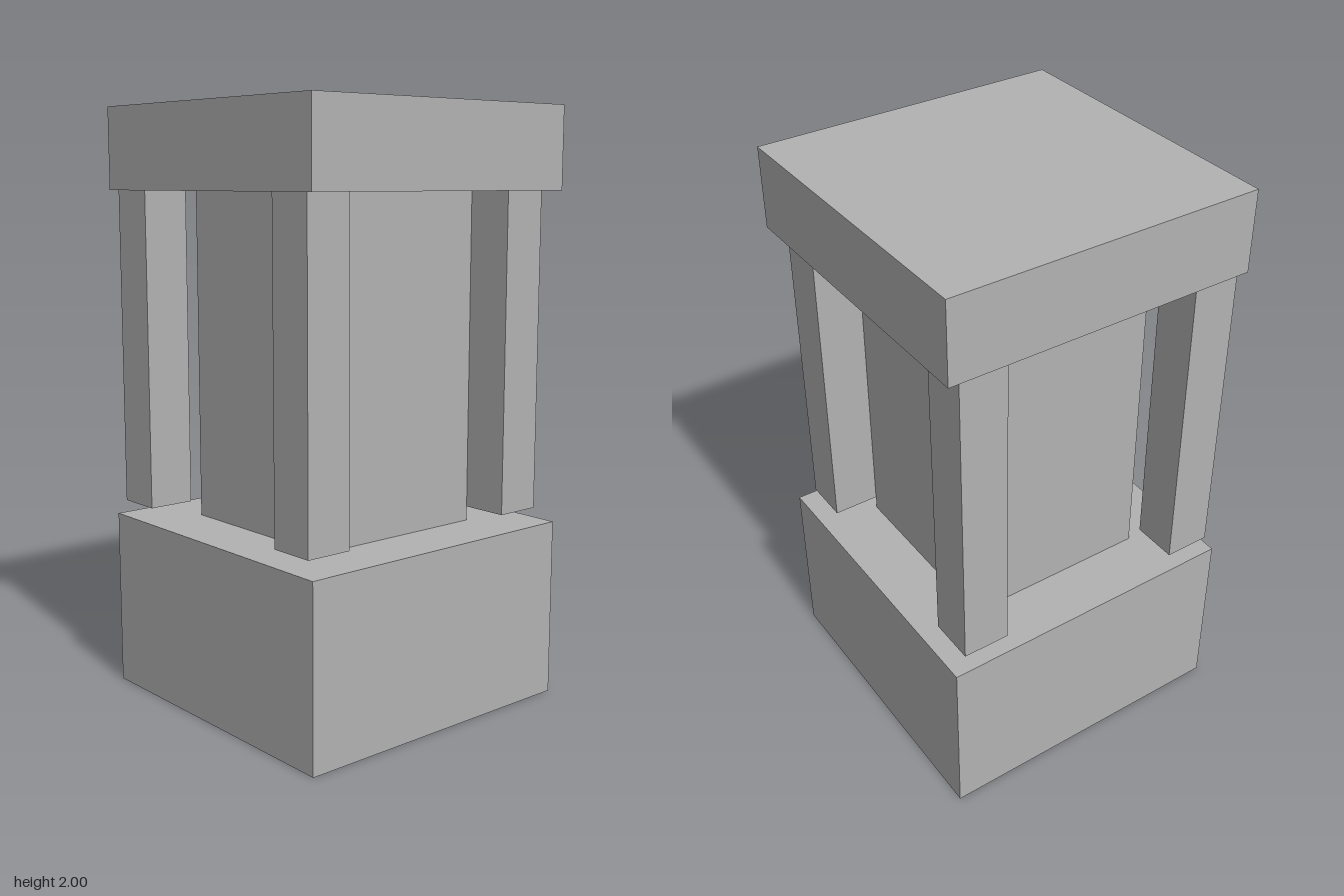
import * as THREE from 'three';

export function createModel() {
  const group = new THREE.Group();
  const stone = new THREE.MeshStandardMaterial({ color: 0xb2b2b2 });
  stone.name = 'grey stone';

  // Square block between two heights
  function block(name, width, bottom, top, x = 0, z = 0) {
    const mesh = new THREE.Mesh(new THREE.BoxGeometry(width, top - bottom, width), stone);
    mesh.name = name;
    mesh.position.set(x, (bottom + top) / 2, z);
    group.add(mesh);
  }

  block('base', 1.066, 0, 0.607);
  block('core', 0.651, 0.607, 1.725);
  block('cap', 1.066, 1.725, 2);

  // Corner posts hang from the cap, stopping just above the base
  for (const [side, x] of [['Left', 0.405], ['Right', -0.431]]) {
    for (const [end, z] of [['front', 0.406], ['back', -0.431]]) {
      block(`${end}${side}Post`, 0.161, 0.655, 1.725, x, z);
    }
  }
  return group;
}
